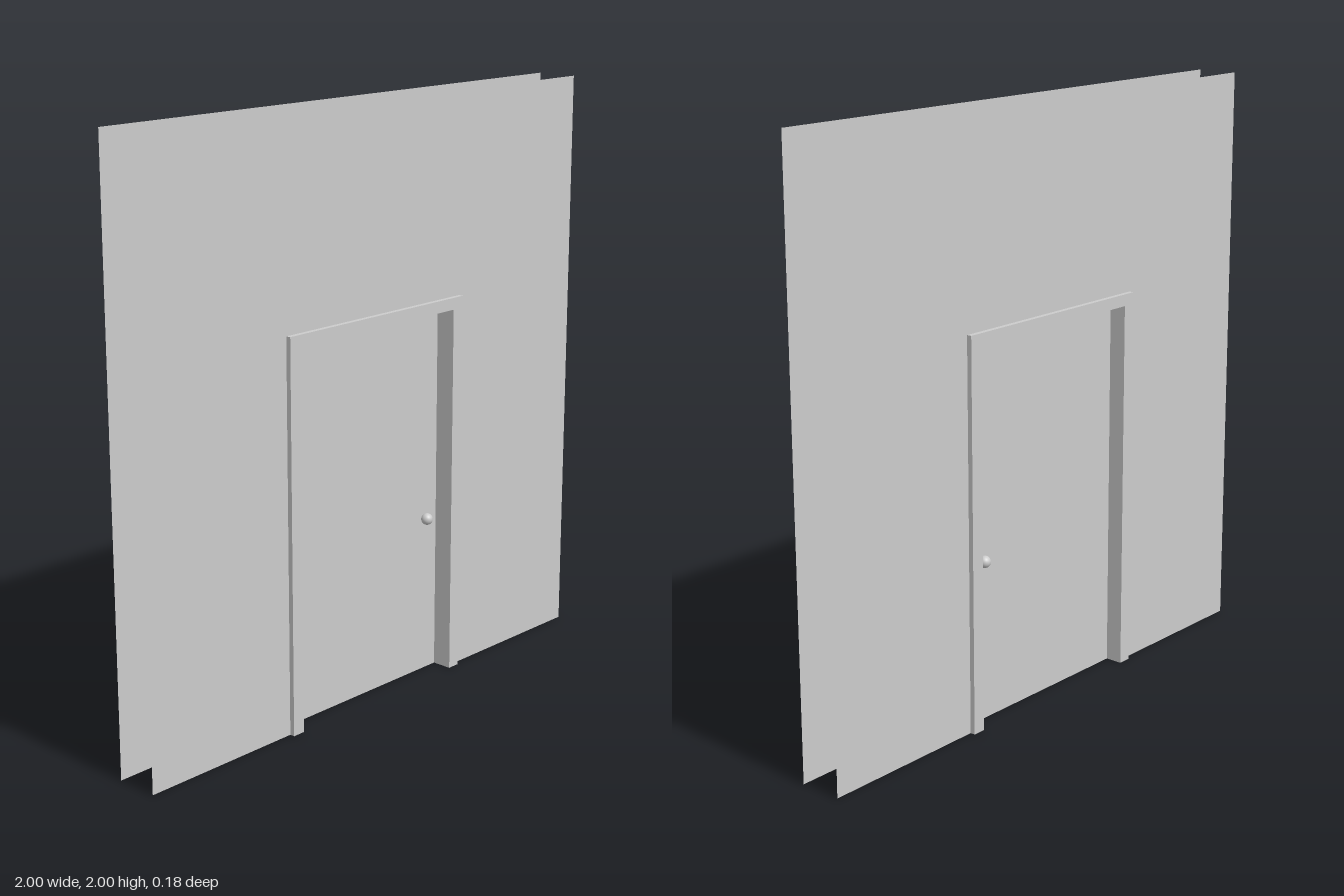
import * as THREE from 'three';

// Clear opening of the doorway
const LEFT = -0.367, RIGHT = 0.354, TOP = 1.28;

export function createModel() {
  const group = new THREE.Group();
  const solid = new THREE.MeshStandardMaterial({ color: 0xcccccc });
  const thin = new THREE.MeshStandardMaterial({ color: 0xcccccc, side: THREE.DoubleSide });

  const add = (name, geometry, material = solid) => {
    const mesh = new THREE.Mesh(geometry, material);
    mesh.name = name;
    group.add(mesh);
    return mesh;
  };

  // Upside-down U that leaves the doorway clear; gap widens the inner edge
  const surround = (x0, x1, top, gap = 0) => new THREE.Shape([
    [x0, 0], [LEFT - gap, 0], [LEFT - gap, TOP + gap], [RIGHT + gap, TOP + gap],
    [RIGHT + gap, 0], [x1, 0], [x1, top], [x0, top],
  ].map(([x, y]) => new THREE.Vector2(x, y)));

  const frame = (name, side, head, z0, z1) => {
    const shape = surround(LEFT - side, RIGHT + side, TOP + head);
    const geometry = new THREE.ExtrudeGeometry(shape, { depth: z1 - z0, bevelEnabled: false });
    add(name, geometry.translate(0, 0, z0));
  };

  // Thin lining across the depth of the doorway
  frame('jambLining', 0.002, 0.002, -0.05, 0.05);

  for (const [label, s] of [['front', 1], ['back', -1]]) {
    // Wall sheet with the doorway cut out
    const wall = add(label + 'Wall', new THREE.ShapeGeometry(surround(-1, 1, 2, 0.012)), thin);
    wall.position.z = s * 0.073;

    // Stepped casing: wide face trim and a narrow return behind it
    const span = (a, b) => (s > 0 ? [a, b] : [-b, -a]);
    frame(label + 'Trim', 0.046, 0.04, ...span(0.07, 0.09));
    frame(label + 'TrimReturn', 0.014, 0.011, ...span(0.05, 0.07));
  }

  // Door leaf, recessed in the frame
  const door = add('door', new THREE.BoxGeometry(RIGHT - LEFT, TOP, 0.05));
  door.position.set((LEFT + RIGHT) / 2, TOP / 2, -0.005);

  // Round knob on each face of the door
  for (const [label, s] of [['front', 1], ['back', -1]]) {
    const knob = add(label + 'Knob', new THREE.SphereGeometry(0.02, 24, 16));
    knob.position.set(0.293, 0.55, -0.005 + s * 0.039);
  }

  return group;
}
